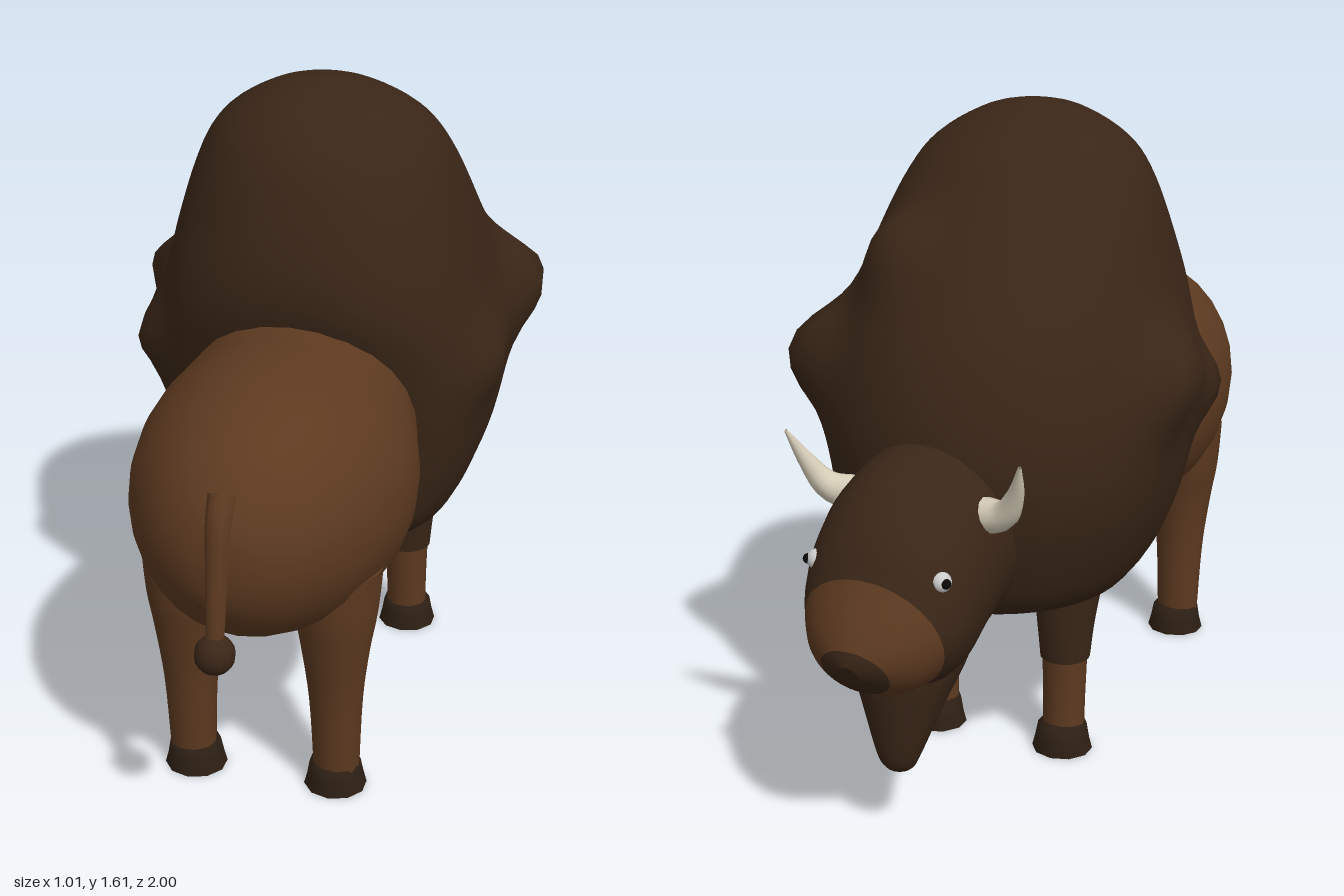
import * as THREE from 'three';

const mat = (color) => new THREE.MeshStandardMaterial({ color, roughness: 0.9, side: THREE.DoubleSide });
const MANE = mat(0x3a2617), HIDE = mat(0x5d3a20), HOOF = mat(0x2d1f14);
const HORN = mat(0xd6cdb8), WHITE = mat(0xe8e8e8), PUPIL = mat(0x0c0a08);

// smooth interpolation through a table of rows, u in row units
function sample(rows, u) {
  const i = Math.min(Math.floor(u), rows.length - 2), t = u - i;
  const row = (k) => rows[Math.max(0, Math.min(rows.length - 1, k))];
  return rows[0].map((_, j) => {
    const [a, b, c, d] = [row(i - 1)[j], row(i)[j], row(i + 1)[j], row(i + 2)[j]];
    const m0 = (c - a) / 2, m1 = (d - b) / 2;
    return b + m0 * t + (3 * (c - b) - 2 * m0 - m1) * t * t + (2 * (b - c) + m0 + m1) * t * t * t;
  });
}

// skin over rings; each row: z1, y1, z2, y2 (ends of the ring in side view), half width, squareness of end 1
function loft(rows, { from = 0, to = rows.length - 1, steps = 4, sides = 28, x = 0, warp } = {}) {
  const pos = [], idx = [], n = Math.round((to - from) * steps);
  const addRing = (k) => {
    const [z1, y1, z2, y2, w, sq = 2] = sample(rows, from + k / steps);
    for (let s = 0; s < sides; s++) {
      const a = (s / sides) * Math.PI * 2, e = 2 / (Math.cos(a) > 0 ? sq : 2);
      const c = Math.sign(Math.cos(a)) * Math.abs(Math.cos(a)) ** e;
      const b = Math.sign(Math.sin(a)) * Math.abs(Math.sin(a)) ** e;
      const p = new THREE.Vector3(x + b * w, (y1 + y2) / 2 + c * (y1 - y2) / 2, (z1 + z2) / 2 + c * (z1 - z2) / 2);
      if (warp) warp(p);
      pos.push(p.x, p.y, p.z);
    }
  };
  for (let k = 0; k <= n; k++) addRing(k);
  for (let k = 0; k < n; k++) for (let s = 0; s < sides; s++) {
    const a = k * sides + s, b = k * sides + (s + 1) % sides;
    idx.push(a, b, b + sides, a, b + sides, a + sides);
  }
  // flat end caps with their own corners
  [0, n].forEach((k) => {
    const base = pos.length / 3;
    addRing(k);
    for (let s = 1; s < sides - 1; s++) {
      if (k) idx.push(base, base + s, base + s + 1);
      else idx.push(base, base + s + 1, base + s);
    }
  });
  // turn the faces outward
  const v = (i) => new THREE.Vector3().fromArray(pos, i * 3);
  let volume = 0;
  for (let i = 0; i < idx.length; i += 3) volume += v(idx[i]).dot(v(idx[i + 1]).cross(v(idx[i + 2])));
  if (volume < 0) idx.reverse();
  const g = new THREE.BufferGeometry();
  g.setAttribute('position', new THREE.Float32BufferAttribute(pos, 3));
  g.setIndex(idx);
  g.computeVertexNormals();
  return g;
}

// rounded limb: rows of y, z centre, half depth, half width
const limb = (rows, opts) => loft(rows.map(([y, z, d, w]) => [z + d, y, z - d, y, w]), opts);

// tube that tapers along a curve
function taper(points, r0, r1, sides) {
  const curve = new THREE.CatmullRomCurve3(points.map((p) => new THREE.Vector3(...p)));
  const steps = 12, g = new THREE.TubeGeometry(curve, steps, 1, sides), p = g.attributes.position;
  const v = new THREE.Vector3();
  for (let i = 0; i < p.count; i++) {
    const t = Math.floor(i / (sides + 1)) / steps, c = curve.getPointAt(t);
    v.fromBufferAttribute(p, i).sub(c).multiplyScalar(r0 + (r1 - r0) * t).add(c);
    p.setXYZ(i, v.x, v.y, v.z);
  }
  g.computeVertexNormals();
  return g;
}

// uneven tufts on the mane: x, y, z, height, radius
const LUMPS = [
  [0.41, 1.0, -0.33, 0.12, 0.12], [0.43, 0.93, 0.02, 0.05, 0.1],
  [-0.42, 1.0, -0.16, 0.09, 0.11], [-0.42, 0.92, 0.06, 0.06, 0.09],
  [0.2, 1.3, -0.4, 0.06, 0.1],
];
function tufts(p) {
  const out = p.clone().sub(new THREE.Vector3(0, 0.9, -0.15)).normalize();
  let push = 0;
  for (const [x, y, z, h, r] of LUMPS) {
    push += h * Math.exp(-((p.x - x) ** 2 + (p.y - y) ** 2 + (p.z - z) ** 2) / (r * r));
  }
  p.addScaledVector(out, push);
}

export function createModel() {
  const root = new THREE.Group();
  const add = (name, geometry, material, parent = root) => {
    const m = new THREE.Mesh(geometry, material);
    m.name = name;
    parent.add(m);
    return m;
  };

  // hindquarters
  add('hindBody', loft([
    [0.925, 0.78, 0.925, 0.74, 0.02], [0.91, 0.86, 0.91, 0.66, 0.09], [0.86, 0.94, 0.86, 0.58, 0.17],
    [0.78, 1.01, 0.78, 0.51, 0.235], [0.65, 1.065, 0.65, 0.45, 0.3], [0.48, 1.085, 0.48, 0.41, 0.335],
    [0.35, 1.085, 0.33, 0.42, 0.325], [0.22, 1.1, 0.2, 0.47, 0.29], [0, 1.1, 0, 0.5, 0.27],
  ]), HIDE);

  // hump, shoulders and chest, stacked from belly to crest
  add('mane', loft([
    [-0.11, 0.35, -0.15, 0.35, 0.02, 2], [0.02, 0.37, -0.24, 0.37, 0.16, 2], [0.12, 0.41, -0.36, 0.41, 0.25, 2.4],
    [0.2, 0.48, -0.52, 0.47, 0.32, 3], [0.215, 0.6, -0.59, 0.6, 0.38, 3.4], [0.235, 0.75, -0.63, 0.75, 0.42, 3.5],
    [0.27, 0.92, -0.63, 0.92, 0.43, 3.3], [0.33, 1.1, -0.575, 1.1, 0.405, 2.6], [0.325, 1.25, -0.48, 1.25, 0.37, 2.2],
    [0.27, 1.42, -0.34, 1.42, 0.31, 2], [0.2, 1.52, -0.235, 1.52, 0.24, 2], [0.1, 1.59, -0.11, 1.59, 0.12, 2],
    [0.01, 1.61, -0.01, 1.61, 0.01, 2],
  ], { sides: 48, steps: 5, warp: tufts }), MANE);

  // head: dark face, lighter muzzle, dark nose from one run of rings
  const head = new THREE.Group();
  head.name = 'head';
  root.add(head);
  const skull = [
    [-0.5, 0.92, -0.5, 0.44, 0.2], [-0.65, 0.92, -0.62, 0.42, 0.21], [-0.78, 0.88, -0.7, 0.38, 0.21],
    [-0.87, 0.79, -0.76, 0.38, 0.2], [-0.92, 0.7, -0.82, 0.4, 0.175], [-0.965, 0.62, -0.87, 0.405, 0.14],
    [-0.993, 0.56, -0.925, 0.43, 0.085], [-1, 0.525, -0.975, 0.475, 0.025],
  ];
  add('face', loft(skull, { to: 4 }), MANE, head);
  add('muzzle', loft(skull, { from: 4, to: 6 }), HIDE, head);
  add('nose', loft(skull, { from: 6 }), MANE, head);
  add('beard', limb([
    [0.5, -0.69, 0.14, 0.16], [0.41, -0.71, 0.135, 0.13], [0.32, -0.74, 0.095, 0.095],
    [0.21, -0.765, 0.052, 0.055], [0.172, -0.765, 0.033, 0.035], [0.16, -0.765, 0.01, 0.012],
  ], { sides: 16 }), MANE, head);

  for (const [side, s] of [['left', 1], ['right', -1]]) {
    // horns and eyes
    add(side + 'Horn', taper([
      [s * 0.16, 0.78, -0.645], [s * 0.225, 0.8, -0.665], [s * 0.265, 0.86, -0.69], [s * 0.295, 0.945, -0.73],
    ], 0.046, 0.004, 12), HORN, head);
    add(side + 'Eye', new THREE.SphereGeometry(0.024, 16, 12), WHITE, head).position.set(s * 0.157, 0.695, -0.843);
    add(side + 'Pupil', new THREE.SphereGeometry(0.012, 12, 8), PUPIL, head).position.set(s * 0.174, 0.697, -0.853);

    // hind leg
    add(side + 'HindLeg', limb([
      [0.62, 0.58, 0.12, 0.11], [0.5, 0.585, 0.105, 0.1], [0.4, 0.588, 0.083, 0.083],
      [0.25, 0.584, 0.062, 0.065], [0.05, 0.578, 0.052, 0.056],
    ], { x: s * 0.182, sides: 20 }), HIDE);

    // front leg: shaggy top and bare shin
    add(side + 'FrontLegHair', limb([
      [0.58, -0.2, 0.12, 0.11], [0.45, -0.2, 0.09, 0.088], [0.34, -0.21, 0.074, 0.072], [0.25, -0.214, 0.062, 0.063],
    ], { x: s * 0.178, sides: 20 }), MANE);
    add(side + 'FrontShin', limb([
      [0.28, -0.215, 0.057, 0.058], [0.15, -0.218, 0.051, 0.054], [0.05, -0.222, 0.05, 0.053],
    ], { x: s * 0.178, sides: 20 }), HIDE);

    // hooves
    for (const [end, z] of [['Hind', 0.573], ['Front', -0.23]]) {
      const hoof = add(side + end + 'Hoof', limb([
        [0.08, 0.002, 0.035, 0.035], [0.068, 0.002, 0.061, 0.062], [0.03, 0, 0.068, 0.069], [0, 0, 0.073, 0.077],
      ], { x: s * 0.178, sides: 10, steps: 1 }), HOOF);
      hoof.position.z = z;
    }
  }

  // tail with its tuft
  add('tail', taper([[0, 0.92, 0.875], [0, 0.88, 0.9], [0, 0.75, 0.925], [0, 0.58, 0.95]], 0.032, 0.02, 12), HIDE);
  add('tailRoot', new THREE.SphereGeometry(0.03, 12, 8), HIDE).position.set(0, 0.9, 0.885);
  add('tailTuft', new THREE.SphereGeometry(0.047, 12, 10), MANE).position.set(0, 0.565, 0.952);
  return root;
}
